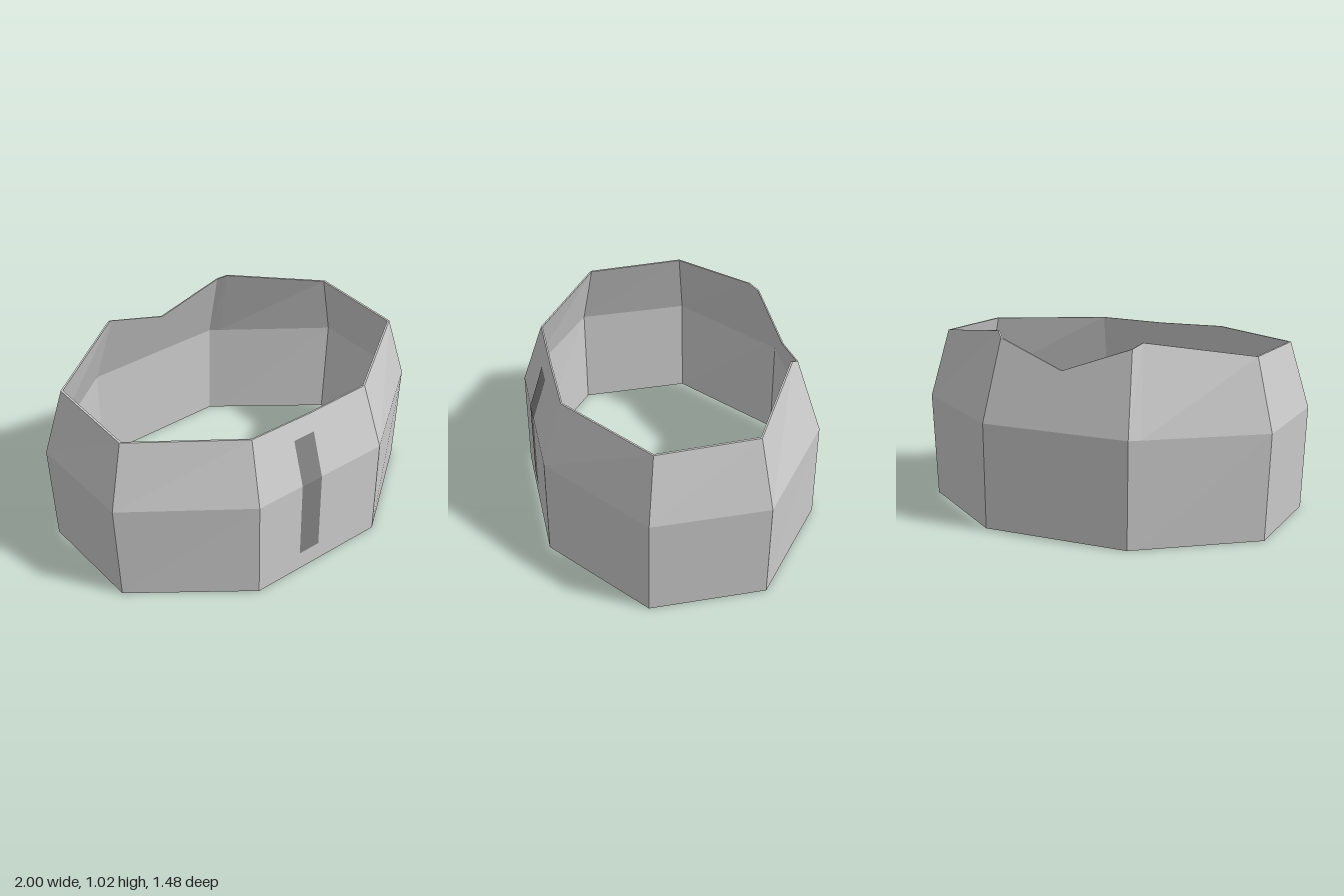
import * as THREE from 'three';

// Half outline from front centre round the +x side to back centre.
// Each column: [bottom x, z], [shoulder x, z], [rim x, y, z]
const HALF = [
  [[0, 0.74], [0, 0.74], [0, 0.905, 0.632]], // front centre
  [[0.405, 0.74], [0.41, 0.74], [0.375, 0.912, 0.63]], // front corner
  [[0.975, 0.31], [1, 0.31], [0.905, 0.925, 0.266]], // side, front corner
  [[0.975, -0.31], [1, -0.31], [0.902, 0.94, -0.267]], // side, back corner
  [[0.455, -0.703], [0.461, -0.703], [0.41, 1.02, -0.563]], // rim peak
  [[0.405, -0.74], [0.41, -0.74], [0.37, 0.992, -0.605]], // back corner
  [[0, -0.74], [0, -0.74], [0, 0.86, -0.647]], // back dip
];
const SHOULDER = 0.565;
const INNER = 0.987; // inner surface scale, gives the wall thickness

function wallGeometry() {
  const mirrored = HALF.slice(1, -1).reverse()
    .map((col) => col.map(([x, ...rest]) => [-x, ...rest]));
  const columns = [...HALF, ...mirrored];

  // Closed wall section per column: up the outside, down the inside
  const pos = [];
  for (const [b, m, t] of columns) {
    const outer = [[b[0], 0, b[1]], [m[0], SHOULDER, m[1]], t];
    const inner = outer.map(([x, y, z]) => [x * INNER, y, z * INNER]).reverse();
    pos.push(...[...outer, ...inner].flat());
  }
  const n = columns.length, k = 6, index = [];
  for (let i = 0; i < n; i++) {
    for (let j = 0; j < k; j++) {
      const i2 = (i + 1) % n, j2 = (j + 1) % k;
      const a = i * k + j, b = i2 * k + j, c = i2 * k + j2, d = i * k + j2;
      index.push(a, b, c, a, c, d);
    }
  }
  const indexed = new THREE.BufferGeometry();
  indexed.setAttribute('position', new THREE.Float32BufferAttribute(pos, 3));
  indexed.setIndex(index);
  const geo = indexed.toNonIndexed();
  geo.computeVertexNormals();
  return geo;
}

// Strip on the front panel, bent at the shoulder
function stripGeometry() {
  const plane = new THREE.PlaneGeometry(0.13, 1, 1, 2);
  const p = plane.attributes.position;
  const rows = [[0.81, 0.665], [SHOULDER, 0.742], [0.11, 0.742]];
  for (let i = 0; i < p.count; i++) {
    const [y, z] = rows[Math.floor(i / 2)];
    p.setXYZ(i, p.getX(i) - 0.065, y, z);
  }
  const geo = plane.toNonIndexed();
  geo.computeVertexNormals();
  return geo;
}

export function createModel() {
  const group = new THREE.Group();
  group.name = 'facetedBand';

  const wall = new THREE.Mesh(wallGeometry(),
    new THREE.MeshStandardMaterial({ color: 0xcccccc, flatShading: true }));
  wall.name = 'bandWall';

  const strip = new THREE.Mesh(stripGeometry(),
    new THREE.MeshStandardMaterial({ color: 0x808080, flatShading: true, side: THREE.DoubleSide }));
  strip.name = 'frontStrip';

  group.add(wall, strip);
  return group;
}
